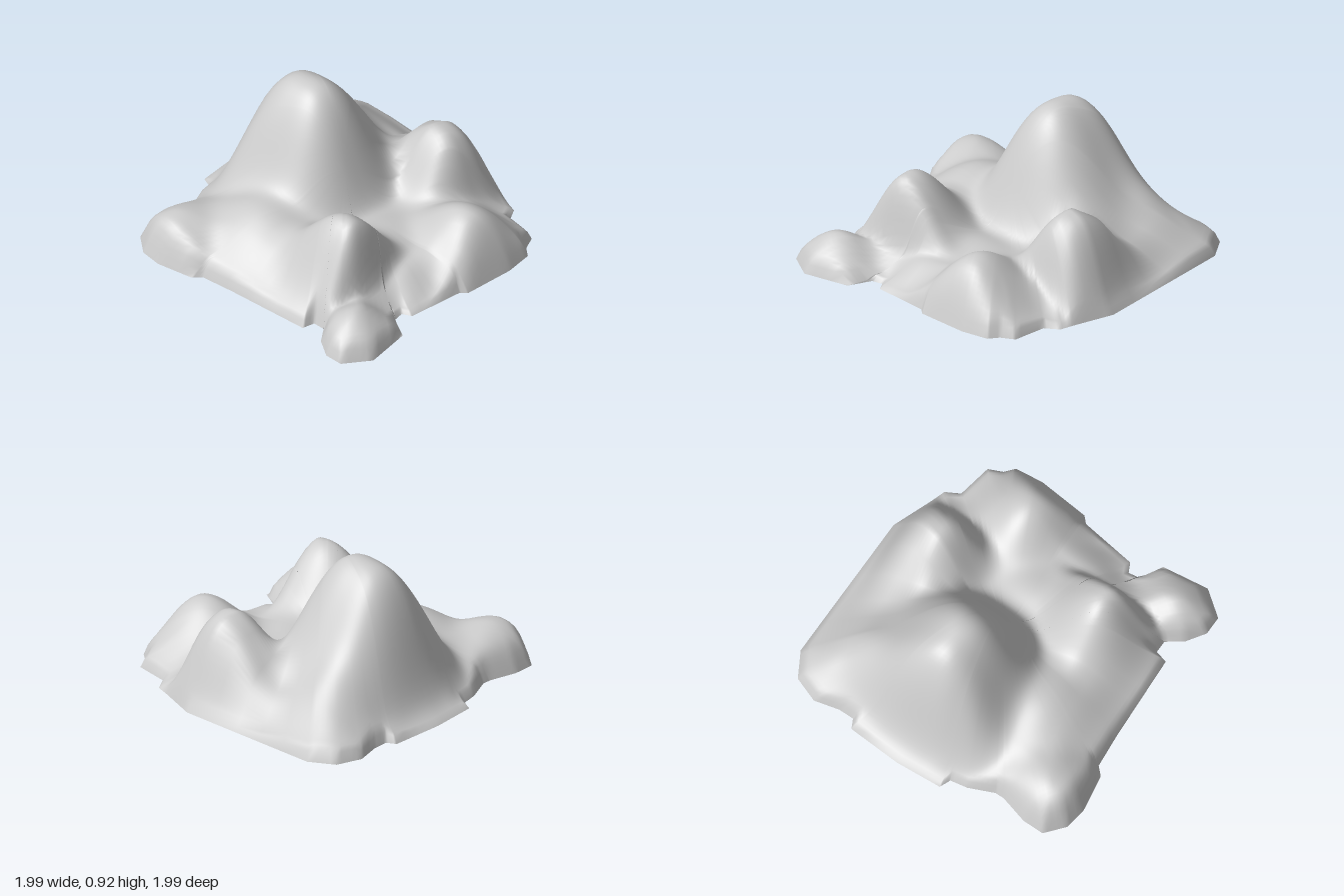
import * as THREE from 'three';

// ground outline as x, z pairs, clockwise from above
const OUTLINE = [
  -0.2, -0.98, 0.1, -1, 0.45, -0.98, 0.48, -0.92, 0.58, -0.92, 0.74, -0.96, 0.9, -0.9, 0.99, -0.74,
  0.99, 0.24, 0.89, 0.5, 0.86, 0.59, 0.77, 0.64, 0.73, 0.86, 0.64, 0.9, 0.59, 0.96, 0.41, 0.98,
  0.08, 0.95, 0.04, 0.91, -0.32, 0.86, -0.35, 0.8, -0.42, 0.81, -0.5, 0.95, -0.8, 0.99, -0.96, 0.87,
  -0.96, 0.75, -0.88, 0.63, -0.78, 0.56, -0.78, 0.48, -0.86, 0.46, -0.89, -0.1, -0.91, -0.32,
  -0.96, -0.37, -1, -0.61, -0.98, -0.75, -0.88, -0.87, -0.74, -0.87, -0.56, -0.82, -0.5, -0.82,
  -0.34, -0.89, -0.23, -0.91,
];

// hills: centre, height, then [width, power] toward -x, +x, -z, +z (a high power is a steep face)
const HILLS = [
  // main peak with its east and west shoulders
  { x: 0.1, z: -0.4, h: 0.93, sides: [[0.42, 2.4], [0.47, 2], [0.39, 4], [0.46, 3]] },
  { x: 0.55, z: -0.55, h: 0.34, sides: [[0.3, 2], [0.3, 2], [0.3, 2], [0.3, 2]] },
  { x: -0.45, z: -0.25, h: 0.33, sides: [[0.38, 2], [0.4, 2], [0.45, 2], [0.5, 2]] },
  // left, right and front hills
  { x: -0.45, z: 0.42, h: 0.59, sides: [[0.26, 2], [0.36, 2], [0.42, 2], [0.18, 4]] },
  { x: 0.63, z: 0.17, h: 0.575, sides: [[0.3, 2], [0.27, 4], [0.34, 2], [0.28, 4]] },
  { x: 0.31, z: 0.72, h: 0.38, sides: [[0.29, 2], [0.31, 2], [0.42, 2], [0.25, 3]] },
  // low saddle and corner knolls
  { x: 0, z: 0.32, h: 0.19, sides: [[0.3, 2], [0.35, 2], [0.3, 2], [0.3, 2]] },
  { x: -0.73, z: 0.76, h: 0.21, sides: [[0.24, 2], [0.25, 2], [0.25, 2], [0.24, 2]] },
  { x: -0.8, z: -0.64, h: 0.26, sides: [[0.22, 4], [0.45, 2], [0.3, 2], [0.36, 2]] },
  { x: 0.74, z: -0.7, h: 0.16, sides: [[0.3, 2], [0.25, 2], [0.25, 2], [0.4, 2]] },
];

const corners = [];
for (let i = 0; i < OUTLINE.length; i += 2) corners.push(new THREE.Vector2(OUTLINE[i], OUTLINE[i + 1]));

function edgeDistance(p) {
  let best = Infinity;
  corners.forEach((a, i) => {
    const ab = corners[(i + 1) % corners.length].clone().sub(a);
    const t = THREE.MathUtils.clamp(p.clone().sub(a).dot(ab) / ab.lengthSq(), 0, 1);
    best = Math.min(best, p.distanceTo(ab.multiplyScalar(t).add(a)));
  });
  return best;
}

function bell(hill, p) {
  const dx = p.x - hill.x, dz = p.y - hill.z;
  const [wx, px] = hill.sides[dx < 0 ? 0 : 1];
  const [wz, pz] = hill.sides[dz < 0 ? 2 : 3];
  return hill.h * Math.exp(-(Math.abs(dx / wx) ** px) - Math.abs(dz / wz) ** pz);
}

// smooth maximum of the low ground and all hills, running down to zero at the outline
function height(p) {
  const d = edgeDistance(p);
  let sum = (0.17 * THREE.MathUtils.smoothstep(d, -0.05, 0.28)) ** 4;
  for (const hill of HILLS) sum += bell(hill, p) ** 4;
  const land = sum ** 0.25, rim = d * 3;
  return rim < 1e-6 ? 0 : (land ** -4 + rim ** -4) ** -0.25;
}

function terrainGeometry(rings = 44, steps = 5) {
  // rim points, each outline edge split into equal steps
  const rim = [];
  corners.forEach((a, i) => {
    const b = corners[(i + 1) % corners.length];
    for (let s = 0; s < steps; s++) rim.push(a.clone().lerp(b, s / steps));
  });
  const n = rim.length;
  const positions = [0, height(new THREE.Vector2()), 0];
  const indices = [];
  const at = (r, k) => (r === 0 ? 0 : 1 + (r - 1) * n + (k % n));

  // concentric copies of the outline
  for (let r = 1; r <= rings; r++) {
    for (let k = 0; k < n; k++) {
      const p = rim[k].clone().multiplyScalar(r / rings);
      positions.push(p.x, r === rings ? 0 : height(p), p.y);
      indices.push(at(r - 1, k), at(r, k + 1), at(r, k));
      if (r > 1) indices.push(at(r - 1, k), at(r - 1, k + 1), at(r, k + 1));
    }
  }
  const geometry = new THREE.BufferGeometry();
  geometry.setAttribute('position', new THREE.Float32BufferAttribute(positions, 3));
  geometry.setIndex(indices);
  geometry.computeVertexNormals();
  return geometry;
}

export function createModel() {
  const group = new THREE.Group();
  group.name = 'hillyTerrain';
  // open-bottomed shell of hills
  const material = new THREE.MeshStandardMaterial({ color: 0xcccccc, side: THREE.DoubleSide });
  const hills = new THREE.Mesh(terrainGeometry(), material);
  hills.name = 'hills';
  group.add(hills);
  return group;
}
